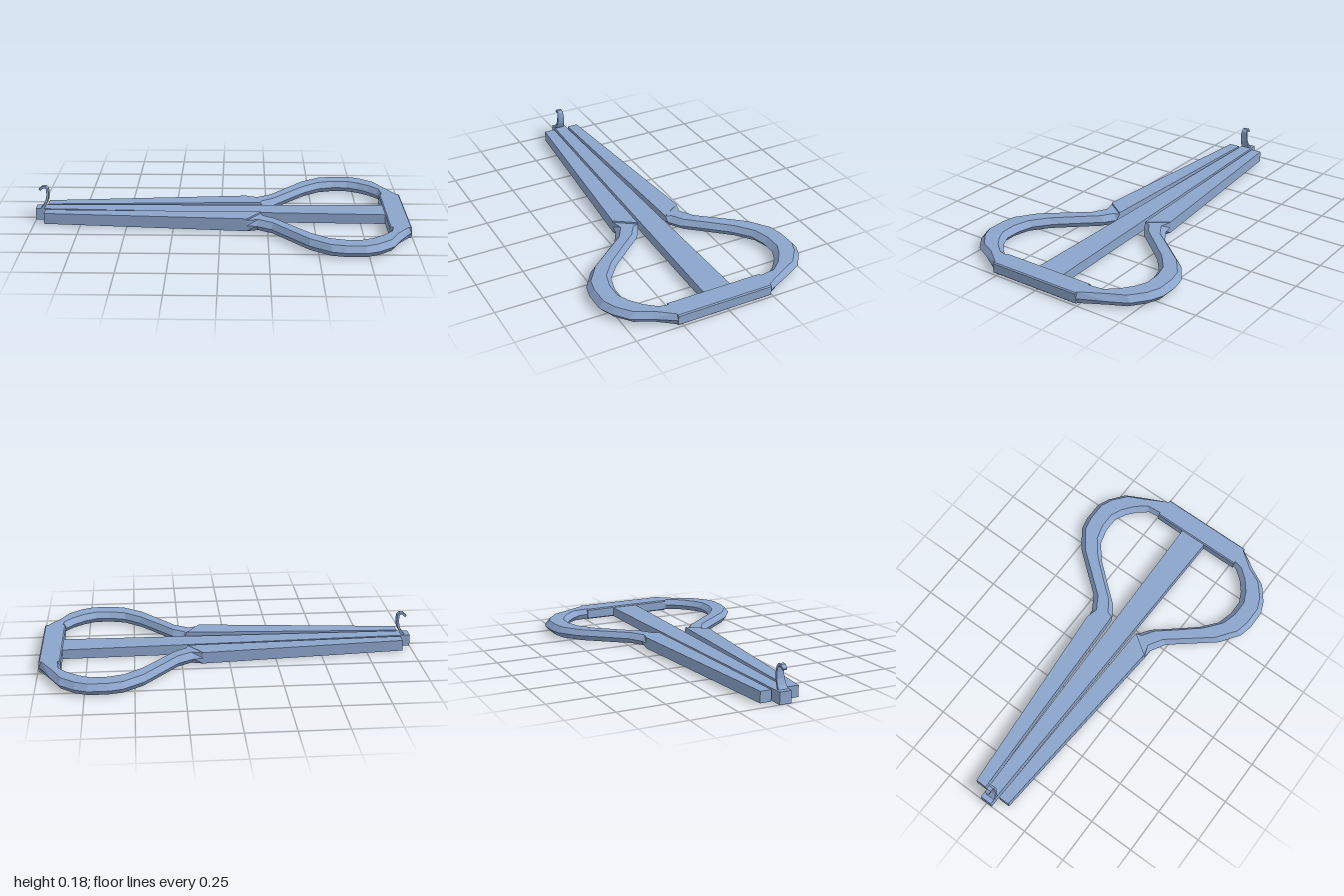
import * as THREE from 'three';

const steel = new THREE.MeshStandardMaterial({ color: 0x8ca5cc, flatShading: true });
steel.name = 'blue steel';

// Skin a list of equal-sized rings of [x, y, z] corners and cap both ends
function loft(name, rings) {
  const tris = [];
  const n = rings[0].length;
  for (let i = 0; i < rings.length - 1; i++) {
    for (let j = 0; j < n; j++) {
      const k = (j + 1) % n;
      const a = rings[i][j], b = rings[i][k], c = rings[i + 1][k], d = rings[i + 1][j];
      tris.push([a, b, c], [a, c, d]);
    }
  }
  const first = rings[0], last = rings[rings.length - 1];
  for (let j = 1; j < n - 1; j++) {
    tris.push([first[0], first[j + 1], first[j]], [last[0], last[j], last[j + 1]]);
  }
  // Turn the corners round if the solid came out inside out
  let volume = 0;
  for (const t of tris) {
    const [a, b, c] = t.map((p) => new THREE.Vector3(...p));
    volume += a.dot(b.cross(c));
  }
  if (volume < 0) tris.forEach((t) => t.reverse());
  const geo = new THREE.BufferGeometry();
  geo.setAttribute('position', new THREE.Float32BufferAttribute(tris.flat(2), 3));
  geo.computeVertexNormals();
  const mesh = new THREE.Mesh(geo, steel);
  mesh.name = name;
  return mesh;
}

const LOW = 0.003, HIGH = 0.063, MID = 0.033;

// Six-sided section between an outer and inner point, bevelled by the inset
function bowRing([ox, oz], [ix, iz], inset, side, top = HIGH) {
  const t = inset / Math.hypot(ix - ox, iz - oz);
  const at = (f, y) => [ox + (ix - ox) * f, y, side * (oz + (iz - oz) * f)];
  return [at(0, MID), at(t, top), at(1 - t, top), at(1, MID), at(1 - t, LOW), at(t, LOW)];
}

// Outer x, z and inner x, z along one lobe of the bow
const lobe = [
  [0.19, 0.2, 0.235, 0.09],
  [0.27, 0.247, 0.29, 0.128],
  [0.36, 0.357, 0.375, 0.23],
  [0.455, 0.472, 0.465, 0.335],
  [0.56, 0.546, 0.55, 0.405],
  [0.63, 0.562, 0.635, 0.428],
  [0.735, 0.562, 0.715, 0.428],
  [0.80, 0.535, 0.775, 0.40],
  [0.88, 0.472, 0.83, 0.355],
  [0.925, 0.385, 0.873, 0.30],
];

export function createModel() {
  const group = new THREE.Group();
  group.name = 'jaw harp';

  for (const side of [1, -1]) {
    const label = side > 0 ? 'front' : 'back';
    const barEnd = side > 0 ? 0.275 : 0.24;
    const raised = side > 0 ? 0.072 : 0.065;

    // Straight tapered arm, cut at a slant where the lobe begins
    const armEnd = bowRing([0.14, 0.192], [0.215, 0.083], 0, side, raised);
    group.add(loft(label + 'Arm', [
      bowRing([-0.945, 0.105], [-0.945, 0.045], 0, side, 0.062),
      armEnd,
    ]));

    // Curved lobe with bevelled edges
    group.add(loft(label + 'Lobe', [
      bowRing([0.14, 0.192], [0.215, 0.083], 0, side),
      ...lobe.map(([ox, oz, ix, iz]) => bowRing([ox, oz], [ix, iz], 0.027, side)),
      bowRing([0.993, barEnd], [0.882, barEnd], 0.015, side),
    ]));
  }

  // Crossbar closing the bow, with small chamfers
  const c = 0.006;
  const barRing = (z) => [
    [0.88 + c, LOW, z], [0.994 - c, LOW, z], [0.994, LOW + c, z], [0.994, HIGH - c, z],
    [0.994 - c, HIGH, z], [0.88 + c, HIGH, z], [0.88, HIGH - c, z], [0.88, LOW + c, z],
  ];
  group.add(loft('crossbar', [barRing(-0.24), barRing(0.275)]));

  // Long reed, widening toward the crossbar
  const reedRing = (x, half, low, high) => [
    [x, low, -half], [x, high, -half], [x, high, half], [x, low, half],
  ];
  group.add(loft('reed', [
    reedRing(-1, 0.032, 0, 0.063),
    reedRing(0.9, 0.075, 0.004, 0.056),
  ]));

  // Curled trigger at the tip of the reed: x, y, half width, thickness direction
  const path = [
    [-0.968, 0.058, 0.027], [-0.95, 0.08, 0.024], [-0.938, 0.108, 0.021], [-0.934, 0.14, 0.019],
    [-0.936, 0.168, 0.016], [-0.946, 0.179, 0.014], [-0.96, 0.178, 0.013], [-0.978, 0.162, 0.011],
  ];
  const trigger = path.map(([x, y, w], i) => {
    const p = path[Math.max(i - 1, 0)], q = path[Math.min(i + 1, path.length - 1)];
    const len = Math.hypot(q[0] - p[0], q[1] - p[1]);
    const nx = (-(q[1] - p[1]) / len) * 0.006, ny = ((q[0] - p[0]) / len) * 0.006;
    const z = 0.005;
    return [
      [x - nx, y - ny, z - w], [x + nx, y + ny, z - w],
      [x + nx, y + ny, z + w], [x - nx, y - ny, z + w],
    ];
  });
  group.add(loft('trigger', trigger));

  return group;
}
